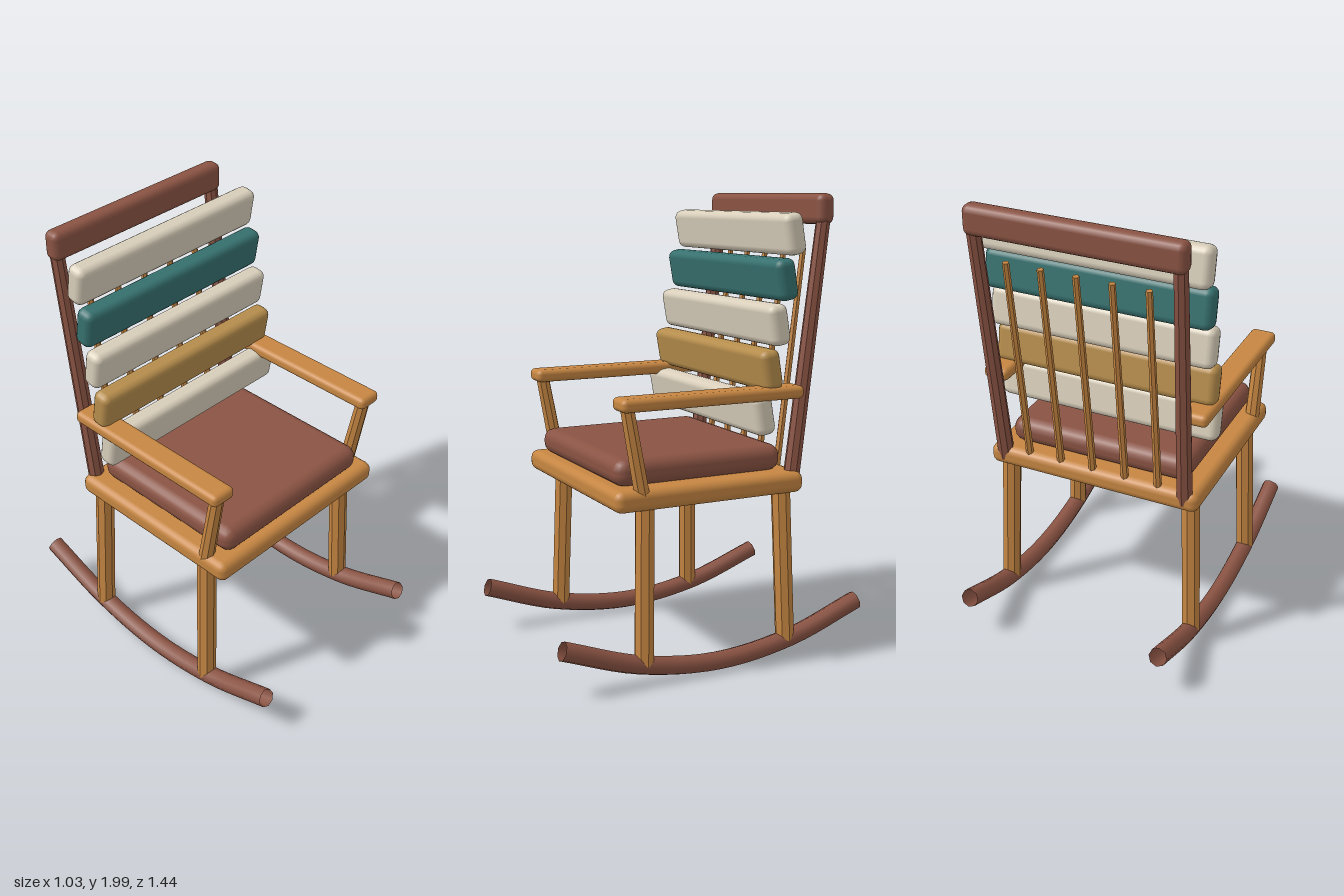
import * as THREE from 'three';
import { RoundedBoxGeometry } from 'three/addons/geometries/RoundedBoxGeometry.js';

const material = (name, color, extra = {}) =>
  Object.assign(new THREE.MeshStandardMaterial({ color, ...extra }), { name });

export function createModel() {
  const chair = new THREE.Group();
  chair.name = 'rockingChair';

  const oak = material('oak', 0xc68642);
  const walnut = material('walnut', 0x8a5343, { side: THREE.DoubleSide });
  const cream = material('cream', 0xd9cfbb);
  const teal = material('teal', 0x36716f);
  const mustard = material('mustard', 0xb68d4c);

  const add = (name, geometry, mat) => {
    const mesh = new THREE.Mesh(geometry, mat);
    mesh.name = name;
    chair.add(mesh);
    return mesh;
  };

  // Rounded box given by size and centre
  const block = (name, size, centre, radius, mat) => {
    const mesh = add(name, new RoundedBoxGeometry(...size, 2, radius), mat);
    mesh.position.set(...centre);
    return mesh;
  };

  // Faceted stick running from one point to another
  const stick = (name, from, to, rFrom, rTo, mat, sides = 8) => {
    const a = new THREE.Vector3(...from);
    const b = new THREE.Vector3(...to);
    const axis = b.clone().sub(a);
    const geometry = new THREE.CylinderGeometry(rTo, rFrom, axis.length(), sides).toNonIndexed();
    geometry.computeVertexNormals();
    const mesh = add(name, geometry, mat);
    mesh.position.copy(a).add(b).multiplyScalar(0.5);
    mesh.quaternion.setFromUnitVectors(new THREE.Vector3(0, 1, 0), axis.normalize());
    return mesh;
  };

  // Seat and cushion
  block('seat', [0.98, 0.092, 0.88], [0, 0.789, 0.035], 0.035, oak);
  block('seatCushion', [0.84, 0.115, 0.775], [0, 0.889, 0.053], 0.05, walnut);

  // Mirrored parts
  for (const [side, s] of [['left', 1], ['right', -1]]) {
    // Curved rocker, open at the ends
    const curve = new THREE.CatmullRomCurve3(
      [[0.21, 0.705], [0.092, 0.36], [0.047, 0], [0.092, -0.36], [0.21, -0.705]]
        .map(([y, z]) => new THREE.Vector3(s * 0.456, y, z)));
    add(side + 'Rocker', new THREE.TubeGeometry(curve, 24, 0.041, 8), walnut);

    // Splayed legs
    stick(side + 'FrontLeg', [s * 0.456, 0.09, 0.343], [s * 0.43, 0.78, 0.325], 0.042, 0.042, oak);
    stick(side + 'BackLeg', [s * 0.456, 0.09, -0.337], [s * 0.43, 0.78, -0.318], 0.042, 0.042, oak);

    // Arm and its leaning support
    block(side + 'Armrest', [0.115, 0.056, 0.84], [s * 0.456, 1.182, 0.037], 0.022, oak);
    stick(side + 'ArmSupport', [s * 0.455, 0.77, 0.342], [s * 0.457, 1.17, 0.415], 0.034, 0.03, oak);

    // Back post
    stick(side + 'BackPost', [s * 0.425, 0.78, -0.372], [s * 0.44, 1.95, -0.508], 0.036, 0.03, walnut);
  }

  // Top rail
  block('topRail', [0.945, 0.128, 0.08], [0, 1.936, -0.503], 0.03, walnut);

  // Spindles between the posts
  for (let i = -2; i <= 2; i++) {
    stick('spindle', [i * 0.152, 0.81, -0.375], [i * 0.154, 1.77, -0.49], 0.017, 0.014, oak, 6);
  }

  // Padded back slats, stepping backwards as they rise
  [cream, mustard, cream, teal, cream].forEach((mat, i) => {
    const slat = block('backSlat', [1.01, 0.174, 0.09], [0, 1.094 + i * 0.1855, -0.2 - i * 0.034], 0.032, mat);
    slat.rotation.x = 0.17;
  });

  return chair;
}
